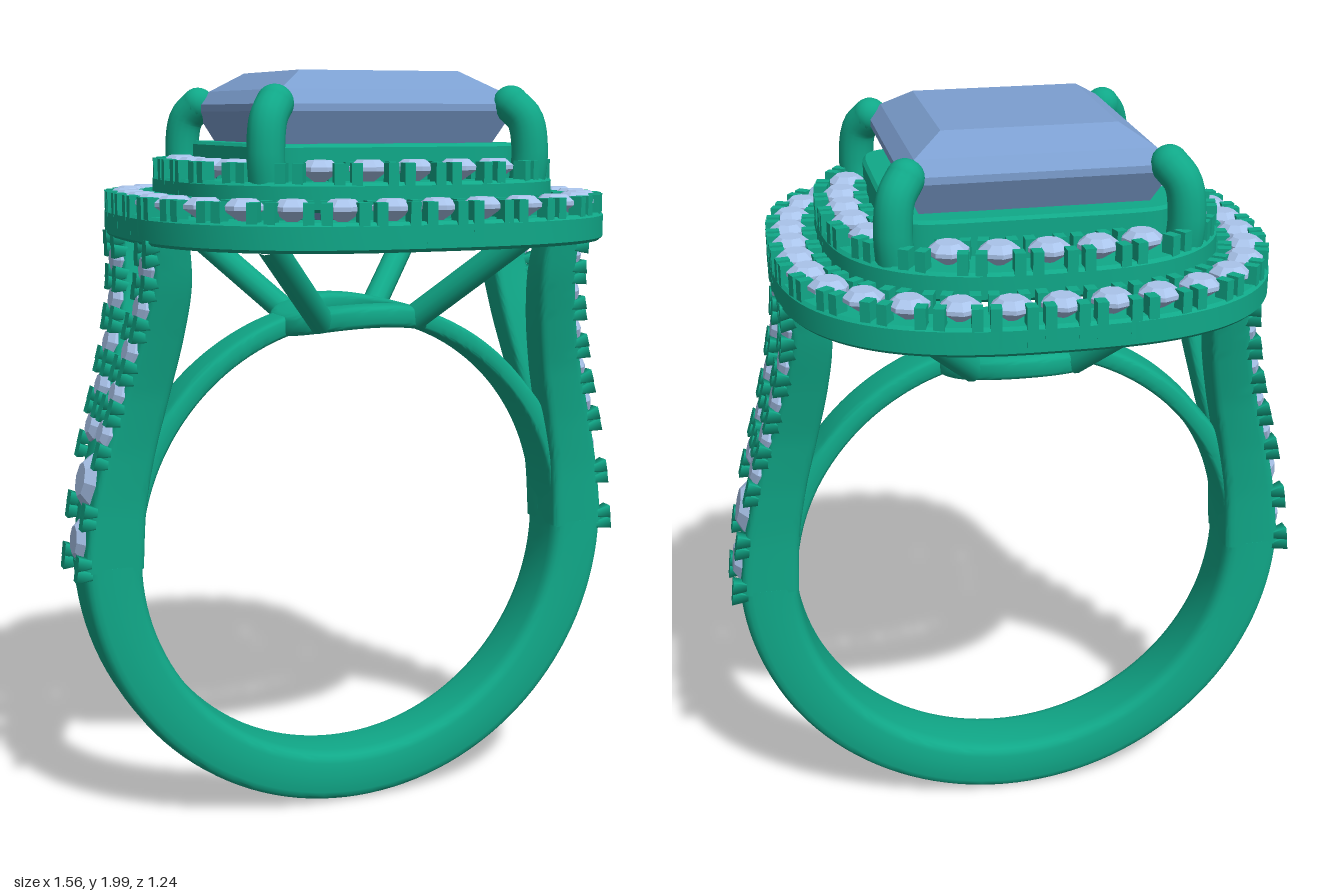
import * as THREE from 'three';
import { toCreasedNormals } from 'three/addons/utils/BufferGeometryUtils.js';

const metal = new THREE.MeshStandardMaterial({ color: 0x10a888 });
const paleStone = new THREE.MeshStandardMaterial({ color: 0xa9c3ea, flatShading: true });
const blueStone = new THREE.MeshStandardMaterial({ color: 0x7c9fd0, flatShading: true });
const V = (x, y, z) => new THREE.Vector3(x, y, z);

function add(parent, name, geometry, material = metal) {
  const mesh = new THREE.Mesh(geometry, material);
  mesh.name = name;
  parent.add(mesh);
  return mesh;
}

// Point on a superellipse: n = 2 is a circle, larger n is squarer
function superPoint(a, n) {
  const c = Math.cos(a), s = Math.sin(a);
  return [Math.sign(c) * Math.abs(c) ** (2 / n), Math.sign(s) * Math.abs(s) ** (2 / n)];
}

// Solid skinned over rings of points, capped at both ends unless closed
function loft(rings, closed = false) {
  const k = rings[0].length, pts = rings.flat(), idx = [];
  const last = closed ? rings.length : rings.length - 1;
  for (let i = 0; i < last; i++) for (let j = 0; j < k; j++) {
    const i2 = (i + 1) % rings.length, j2 = (j + 1) % k;
    const a = i * k + j, b = i * k + j2, c = i2 * k + j, d = i2 * k + j2;
    idx.push(a, b, c, b, d, c);
  }
  if (!closed) {
    const e = (rings.length - 1) * k;
    for (let j = 1; j < k - 1; j++) idx.push(0, j + 1, j, e, e + j, e + j + 1);
  }
  // Flip the winding if the solid came out inside-out
  let volume = 0;
  for (let i = 0; i < idx.length; i += 3)
    volume += pts[idx[i]].dot(pts[idx[i + 1]].clone().cross(pts[idx[i + 2]]));
  if (volume < 0) idx.reverse();
  const g = new THREE.BufferGeometry().setFromPoints(pts);
  g.setIndex(idx);
  return toCreasedNormals(g, 0.7);
}

const SIDES = 24;
const section = (fn, n = 5) => Array.from({ length: SIDES }, (_, j) => fn(...superPoint(j / SIDES * Math.PI * 2, n)));

// Ring section of the hoop: angle range, radii and half width as functions of t
function hoopArc(a0, a1, inner, outer, half) {
  const rings = [];
  for (let i = 0; i <= 64; i++) {
    const t = i / 64, a = a0 + (a1 - a0) * t, ri = inner(t), ro = outer(t), w = half(t);
    rings.push(section((u, v) => {
      const r = (ri + ro) / 2 + u * (ro - ri) / 2;
      return V(Math.cos(a) * r, 0.75 + Math.sin(a) * r, v * w);
    }));
  }
  return loft(rings);
}

const gemGeometry = new THREE.LatheGeometry(
  [[0, -0.8], [1, -0.1], [1, 0.1], [0.6, 0.42], [0, 0.42]].map(p => new THREE.Vector2(...p)), 8);

function gem(parent, radius, position) {
  const m = add(parent, 'smallStone', gemGeometry, paleStone);
  m.scale.setScalar(radius);
  m.position.copy(position);
  return m;
}

function cushionPoints(size, n, count = 96) {
  return Array.from({ length: count }, (_, i) => {
    const [x, y] = superPoint(i / count * Math.PI * 2, n);
    return new THREE.Vector2(x * size, y * size);
  });
}

// Flat cushion-shaped ring lying between y0 and y1
function cushionRing(outer, inner, y0, y1, n) {
  const shape = new THREE.Shape(cushionPoints(outer, n));
  shape.holes.push(new THREE.Path(cushionPoints(inner, n)));
  const b = 0.008;
  const g = new THREE.ExtrudeGeometry(shape, { depth: y1 - y0 - 2 * b, bevelThickness: b, bevelSize: b, bevelOffset: -b, bevelSegments: 1 });
  g.rotateX(-Math.PI / 2).translate(0, y0 + b, 0);
  return toCreasedNormals(g, 0.5);
}

// Stone-set halo with paired beads in every gap
function halo(name, o) {
  const g = new THREE.Group();
  g.name = name;
  const n = 2.7;
  add(g, 'haloBase', cushionRing(o.outer, o.inner, o.y0, o.y1 - 0.045, n));
  const line = new THREE.CatmullRomCurve3(cushionPoints(o.line, n).map(p => V(p.x, 0, p.y)), true);
  line.arcLengthDivisions = 1000;
  const h = o.y1 - o.y0 - 0.02;
  const tooth = new THREE.BoxGeometry(0.034, h, 0.026);
  for (let i = 0; i < o.count; i++) {
    if (!o.skip || i % (o.count / 4) !== o.count / 8) {
      const p = line.getPointAt(i / o.count);
      gem(g, 0.05, p.setY(o.y1 - 0.015));
    }
    const u = (i + 0.5) / o.count, p = line.getPointAt(u), t = line.getTangentAt(u);
    const out = V(t.z, 0, -t.x);
    for (const s of [-1, 1]) for (const r of [o.line - o.inner - 0.017, o.outer - o.line - 0.017].map((d, k) => k ? d : -d)) {
      const m = add(g, 'haloBead', tooth);
      m.position.copy(p).addScaledVector(t, s * 0.021).addScaledVector(out, r);
      m.position.y = o.y1 - h / 2;
      m.rotation.y = Math.atan2(-out.z, out.x);
    }
  }
  return g;
}

// Shoulder: [inner x, y, outer x] and [centre z, half width] along its length
const shoulderXY = new THREE.CatmullRomCurve3([[0.6, 0.74, 0.757], [0.59, 0.9, 0.735], [0.565, 1.05, 0.7],
  [0.53, 1.2, 0.655], [0.5, 1.35, 0.615], [0.487, 1.48, 0.592], [0.5, 1.61, 0.59]].map(p => V(...p)));
const shoulderZ = new THREE.CatmullRomCurve3([[0.045, 0.046], [0.046, 0.05], [0.056, 0.052],
  [0.077, 0.052], [0.11, 0.053], [0.142, 0.053], [0.168, 0.052]].map(p => V(p[0], p[1], 0)));

// Shoulder surface at height y: outer point and outward normal
function shoulderAt(y) {
  let lo = 0, hi = 1;
  for (let i = 0; i < 30; i++) {
    const mid = (lo + hi) / 2;
    if (shoulderXY.getPoint(mid).y < y) lo = mid; else hi = mid;
  }
  const a = shoulderXY.getPoint(lo), b = shoulderXY.getPoint(Math.min(lo + 0.01, 1)), z = shoulderZ.getPoint(lo);
  return { x: a.z, z: z.x, half: z.y, tilt: Math.atan2(b.z - a.z, b.y - a.y) };
}

function shoulders() {
  const g = new THREE.Group();
  const rings = [];
  for (let i = 0; i <= 40; i++) {
    const p = shoulderXY.getPoint(i / 40), q = shoulderZ.getPoint(i / 40);
    rings.push(section((u, v) => V((p.x + p.z) / 2 + u * (p.z - p.x) / 2, p.y, q.x + v * q.y), 6));
  }
  const arm = loft(rings);
  const tooth = new THREE.CylinderGeometry(0.026, 0.006, 0.07, 4).rotateY(Math.PI / 4);
  const place = (m, y, z, s, lift = 0) => {
    m.position.set(s.x + lift, y, z);
    m.rotation.z = -Math.PI / 2 - s.tilt;
  };
  for (const side of [1, -1]) {
    add(g, 'shoulderArm', arm).scale.z = side;
    for (const y of [1.1, 1.2, 1.31, 1.42, 1.52]) {
      const s = shoulderAt(y);
      place(gem(g, 0.046, V(0, 0, 0)), y, side * s.z, s);
    }
    for (const y of [0.75, 0.885, 1.04, 1.15, 1.255, 1.365, 1.47, 1.56]) for (const d of [-1, 1]) {
      if (y < 1.05 && d < 0) continue;
      for (const k of [-0.016, 0.016]) {
        const s = shoulderAt(y + k);
        place(add(g, 'shoulderBead', tooth), y + k, side * (s.z + d * (s.half - 0.014)), s, -0.012);
      }
    }
  }
  for (const [y, r] of [[0.81, 0.064], [0.965, 0.075]]) {
    const s = shoulderAt(y);
    place(gem(g, r, V(0, 0, 0)), y, 0, s, -0.008);
  }
  return g;
}

export function createModel() {
  const root = new THREE.Group();
  root.name = 'haloRing';

  // Hoop: lower half, then a thin bridge on each side under the setting
  add(root, 'band', hoopArc(-Math.PI, 0, () => 0.6, t => 0.758 - 0.016 * Math.sin(t * Math.PI), () => 0.092));
  for (const side of [1, -1]) {
    const bridge = hoopArc(-0.02, 1.33, () => 0.6, t => 0.69 - 0.035 * Math.min(1, t * 2), t => 0.088 - 0.025 * Math.sin(t * Math.PI / 2));
    add(root, 'bridge', bridge).scale.x = side;
    const arms = shoulders();
    arms.name = side > 0 ? 'leftShoulder' : 'rightShoulder';
    arms.scale.x = side;
    root.add(arms);
  }

  // Gallery ring, bent to follow the finger hole
  const gallery = [];
  for (let i = 0; i < 64; i++) {
    const a = i / 64 * Math.PI * 2;
    gallery.push(section((u, v) => {
      const r = 0.168 + u * 0.044, x = Math.cos(a) * r, z = Math.sin(a) * r;
      return V(x, 0.75 + Math.sqrt(0.63 ** 2 - x * x) + v * 0.03, z);
    }, 4));
  }
  add(root, 'galleryRing', loft(gallery, true));

  // Two halos and the seat below the centre stone
  root.add(halo('lowerHalo', { outer: 0.62, inner: 0.495, line: 0.563, y0: 1.58, y1: 1.695, count: 32 }));
  root.add(halo('upperHalo', { outer: 0.495, inner: 0.36, line: 0.425, y0: 1.665, y1: 1.78, count: 24, skip: true }));
  add(root, 'stoneSeat', cushionRing(0.35, 0.275, 1.7, 1.822, 8));

  // Prongs: strut up from the gallery, then a claw over each corner
  const strut = new THREE.CatmullRomCurve3([V(0.13, 1.365, 0.14), V(0.24, 1.48, 0.245), V(0.345, 1.59, 0.345)]);
  const claw = new THREE.CatmullRomCurve3([V(0.335, 1.58, 0.335), V(0.345, 1.7, 0.345), V(0.352, 1.8, 0.352), V(0.342, 1.88, 0.342), V(0.315, 1.918, 0.315)]);
  const strutGeometry = new THREE.TubeGeometry(strut, 8, 0.035, 12);
  const clawGeometry = new THREE.TubeGeometry(claw, 24, 0.046, 16);
  const tipGeometry = new THREE.SphereGeometry(0.046, 16, 12);
  for (const x of [1, -1]) for (const z of [1, -1]) {
    const prong = new THREE.Group();
    prong.name = 'prong';
    add(prong, 'strut', strutGeometry);
    add(prong, 'claw', clawGeometry);
    add(prong, 'clawTip', tipGeometry).position.set(0.315, 1.918, 0.315);
    prong.scale.set(x, 1, z);
    root.add(prong);
  }

  // Square step-cut centre stone
  const profile = [[0, 1.565], [0.15, 1.68], [0.28, 1.82], [0.32, 1.9], [0.32, 1.918], [0.29, 1.953], [0.215, 2], [0, 2]];
  const stone = new THREE.LatheGeometry(profile.map(([r, y]) => new THREE.Vector2(r * Math.SQRT2, y)), 4);
  stone.rotateY(Math.PI / 4);
  add(root, 'centreStone', stone, blueStone);
  return root;
}
